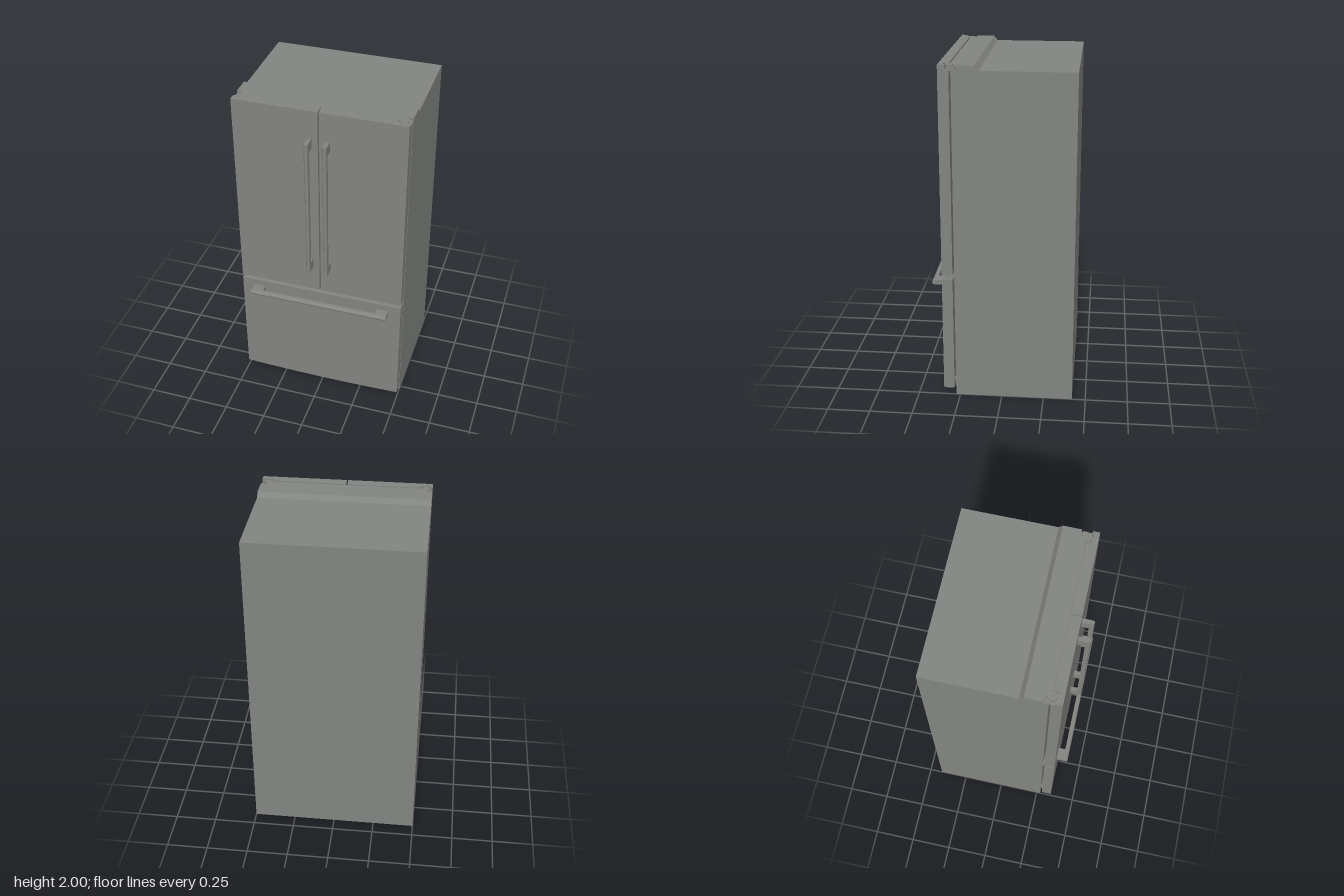
import * as THREE from 'three';

const steel = new THREE.MeshStandardMaterial({ color: 0x838581 });
steel.name = 'grey steel';

function add(parent, name, geometry) {
  const mesh = new THREE.Mesh(geometry, steel);
  mesh.name = name;
  parent.add(mesh);
  return mesh;
}

// Box given by its minimum and maximum corners
function box(parent, name, [x0, y0, z0], [x1, y1, z1]) {
  const g = new THREE.BoxGeometry(x1 - x0, y1 - y0, z1 - z0);
  g.translate((x0 + x1) / 2, (y0 + y1) / 2, (z0 + z1) / 2);
  return add(parent, name, g);
}

// Plan outline in x and z, extruded between two heights
function slab(shape, y0, y1) {
  const g = new THREE.ExtrudeGeometry(shape, { depth: y1 - y0, bevelEnabled: false, curveSegments: 10 });
  return g.rotateX(Math.PI / 2).translate(0, y1, 0);
}

const outline = pts => new THREE.Shape(pts.map(p => new THREE.Vector2(...p)));

// Upright pull bar with a rounded front and two end posts, centred on its length
function makeHandle(name, length, width, post) {
  const handle = new THREE.Group();
  handle.name = name;
  const r = width / 2;
  const section = new THREE.Shape();
  section.moveTo(-r, 0.39);
  section.lineTo(r, 0.39);
  section.lineTo(r, 0.418 - r);
  section.absarc(0, 0.418 - r, r, 0, Math.PI, false);
  section.closePath();
  add(handle, 'handleBar', slab(section, -length / 2, length / 2));
  for (const s of [-1, 1]) {
    const a = s * length / 2, b = s * (length / 2 - post);
    box(handle, 'handlePost', [-r, Math.min(a, b), 0.34], [r, Math.max(a, b), 0.395]);
  }
  return handle;
}

export function createModel() {
  const fridge = new THREE.Group();
  fridge.name = 'refrigerator';

  // Cabinet
  box(fridge, 'cabinet', [-0.5, 0, -0.42], [0.5, 1.97, 0.275]);

  // Hinge cover on top, stepped in at its front corners, with a sloped rear edge
  const coverPlan = outline([
    [-0.5, 0.15], [0.5, 0.15], [0.5, 0.25], [0.465, 0.25],
    [0.465, 0.285], [-0.465, 0.285], [-0.465, 0.25], [-0.5, 0.25],
  ]);
  add(fridge, 'hingeCover', slab(coverPlan, 1.965, 1.997));
  const slope = outline([[0.12, 1.968], [0.151, 1.968], [0.151, 1.997], [0.145, 1.997]]);
  const slopeGeometry = new THREE.ExtrudeGeometry(slope, { depth: 1, bevelEnabled: false });
  slopeGeometry.rotateY(-Math.PI / 2).translate(0.5, 0, 0);
  add(fridge, 'hingeCoverSlope', slopeGeometry);

  // Paired doors, hinges and upright handles
  for (const s of [-1, 1]) {
    const side = s > 0 ? 'left' : 'right';
    const span = (a, b) => [Math.min(s * a, s * b), Math.max(s * a, s * b)];
    const [d0, d1] = span(0.004, 0.5);
    box(fridge, side + 'Door', [d0, 0.768, 0.285], [d1, 1.975, 0.348]);

    // Door cap, cut away around the hinge
    const cap = outline([
      [s * 0.004, 0.29], [s * 0.425, 0.29], [s * 0.43, 0.308], [s * 0.44, 0.317],
      [s * 0.475, 0.317], [s * 0.485, 0.308], [s * 0.5, 0.308], [s * 0.5, 0.348], [s * 0.004, 0.348],
    ]);
    add(fridge, side + 'DoorCap', slab(cap, 1.975, 2));

    // Top hinge
    const knob = new THREE.CylinderGeometry(0.026, 0.026, 0.026, 20);
    add(fridge, side + 'HingeKnob', knob.translate(s * 0.457, 1.984, 0.286));
    const [h0, h1] = span(0.455, 0.498);
    box(fridge, side + 'HingeArm', [h0, 1.965, 0.255], [h1, 1.985, 0.285]);

    // Middle hinge between door and drawer
    const [m0, m1] = span(0.42, 0.495);
    box(fridge, side + 'MiddleHinge', [m0, 0.751, 0.27], [m1, 0.761, 0.33]);

    const handle = makeHandle(side + 'DoorHandle', 0.885, 0.025, 0.06);
    handle.position.set(s * 0.053, 1.3825, 0);
    fridge.add(handle);
  }

  // Freezer drawer with a gently bowed lower edge
  const front = new THREE.Shape();
  front.moveTo(-0.5, 0.745);
  front.lineTo(-0.5, 0.042);
  front.quadraticCurveTo(0, 0.02, 0.5, 0.042);
  front.lineTo(0.5, 0.745);
  front.closePath();
  const drawer = new THREE.ExtrudeGeometry(front, { depth: 0.063, bevelEnabled: false, curveSegments: 16 });
  add(fridge, 'freezerDrawer', drawer.translate(0, 0, 0.285));
  // Rail carrying the drawer
  box(fridge, 'drawerRail', [-0.48, 0.08, 0.27], [0.48, 0.1, 0.29]);

  const drawerHandle = makeHandle('drawerHandle', 0.85, 0.028, 0.07);
  drawerHandle.rotation.z = Math.PI / 2;
  drawerHandle.position.y = 0.694;
  fridge.add(drawerHandle);

  return fridge;
}
